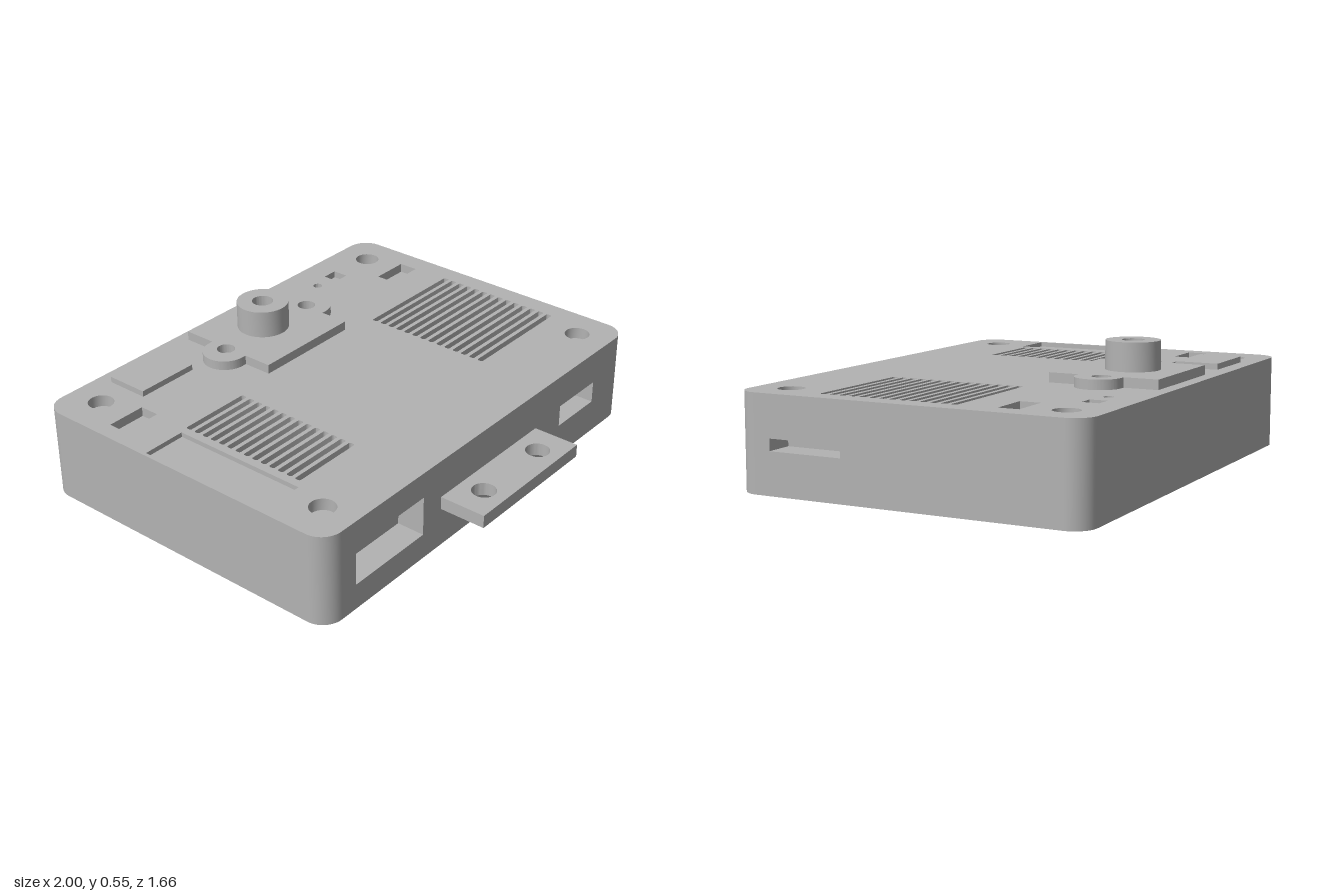
import * as THREE from 'three';
import { mergeGeometries, toCreasedNormals } from 'three/addons/utils/BufferGeometryUtils.js';

const grey = new THREE.MeshStandardMaterial({ color: 0xb3b3b3 });
grey.name = 'plain grey';

// Case extents
const X = 1, Z0 = -0.83, Z1 = 0.63, H = 0.39, R = 0.09;

const rect = (x0, y0, x1, y1) => new THREE.Shape([
  new THREE.Vector2(x0, y0), new THREE.Vector2(x1, y0),
  new THREE.Vector2(x1, y1), new THREE.Vector2(x0, y1)]);

const circle = (x, y, r) => new THREE.Shape().absarc(x, y, r, 0, Math.PI * 2, false);

function roundRect(x0, y0, x1, y1, r) {
  const s = new THREE.Shape();
  s.absarc(x1 - r, y0 + r, r, -Math.PI / 2, 0, false);
  s.absarc(x1 - r, y1 - r, r, 0, Math.PI / 2, false);
  s.absarc(x0 + r, y1 - r, r, Math.PI / 2, Math.PI, false);
  s.absarc(x0 + r, y0 + r, r, Math.PI, Math.PI * 1.5, false);
  s.closePath();
  return s;
}

function add(group, name, geometry) {
  const mesh = new THREE.Mesh(geometry, grey);
  mesh.name = name;
  group.add(mesh);
  return mesh;
}

// Inward-facing walls and floor of a recess cut into the local z = 0 plane
function pocket(shape, depth, segments) {
  const pts = shape.getPoints(segments);
  if (pts[0].distanceTo(pts[pts.length - 1]) < 1e-6) pts.pop();
  if (THREE.ShapeUtils.isClockWise(pts)) pts.reverse();
  const pos = [];
  pts.forEach((a, i) => {
    const b = pts[(i + 1) % pts.length];
    if (a.distanceTo(b) < 1e-6) return;
    pos.push(a.x, a.y, 0, b.x, b.y, 0, b.x, b.y, -depth);
    pos.push(a.x, a.y, 0, b.x, b.y, -depth, a.x, a.y, -depth);
  });
  let walls = new THREE.BufferGeometry();
  walls.setAttribute('position', new THREE.Float32BufferAttribute(pos, 3));
  walls.computeVertexNormals();
  walls = toCreasedNormals(walls, 0.6);
  const floor = new THREE.ShapeGeometry(shape, segments).toNonIndexed();
  floor.deleteAttribute('uv');
  floor.translate(0, 0, -depth);
  return mergeGeometries([walls, floor]);
}

// Flat face with recesses, each given as [name, depth, shapes]
function panel(name, outline, recesses, segments = 12) {
  const group = new THREE.Group();
  group.name = name;
  for (const [label, depth, shapes] of recesses) {
    outline.holes.push(...shapes);
    add(group, label, mergeGeometries(shapes.map(s => pocket(s, depth, segments))));
  }
  add(group, name + 'Face', new THREE.ShapeGeometry(outline, segments));
  return group;
}

// Horizontal slab from a plan outline drawn with y = -z
function slab(shape, y0, y1) {
  const g = new THREE.ExtrudeGeometry(shape, { depth: y1 - y0, bevelEnabled: false, curveSegments: 24 });
  g.rotateX(-Math.PI / 2);
  g.translate(0, y0, 0);
  return toCreasedNormals(g, 0.6);
}

export function createModel() {
  const model = new THREE.Group();
  model.name = 'deviceCase';

  // Top with vents, screw wells and sockets
  const slots = [];
  for (let i = 0; i < 14; i++) {
    const y = 0.268 - i * 0.0431;
    for (const [a, b] of [[-0.76, -0.44], [0.39, 0.915]]) {
      slots.push(roundRect(a, y - 0.0125, b, y + 0.0125, 0.008));
    }
  }
  const wells = [];
  for (const x of [-0.835, 0.845]) for (const y of [0.68, -0.48]) wells.push(circle(x, y, 0.053));
  const top = panel('top', roundRect(-X, -Z1, X, -Z0, R), [
    ['ventSlots', 0.03, slots],
    ['screwWells', 0.05, wells],
    ['sideSockets', 0.04, [rect(-0.93, 0.44, -0.76, 0.525), rect(0.735, 0.44, 0.905, 0.525)]],
    ['squareSocket', 0.03, [rect(0.58, 0.645, 0.65, 0.715)]],
    ['pinHole', 0.03, [circle(0.49, 0.68, 0.02)]],
    ['labelRecess', 0.02, [rect(-0.985, -0.33, -0.795, 0.27)]],
  ]);
  top.rotation.x = -Math.PI / 2;
  top.position.y = H;
  model.add(top);

  // Underside with a shallow rectangular recess
  const bottom = panel('bottom', roundRect(-X, Z0, X, Z1, R), [
    ['bottomRecess', 0.02, [rect(-0.71, -0.645, 0.71, 0.445)]],
  ]);
  bottom.rotation.x = Math.PI / 2;
  model.add(bottom);

  // Four walls
  const front = panel('frontWall', rect(-X + R, 0, X - R, H), [
    ['largePort', 0.12, [rect(-0.83, 0.11, -0.43, 0.28)]],
    ['smallPort', 0.12, [rect(0.5, 0.15, 0.755, 0.245)]],
  ]);
  front.position.z = Z1;
  const back = panel('backWall', rect(-X + R, 0, X - R, H), []);
  back.rotation.y = Math.PI;
  back.position.z = Z0;
  const right = panel('slotWall', rect(-Z1 + R, 0, -Z0 - R, H), [
    ['cardSlot', 0.12, [rect(-0.475, 0.172, -0.16, 0.22)]],
  ]);
  right.rotation.y = Math.PI / 2;
  right.position.x = X;
  const left = panel('plainWall', rect(Z0 + R, 0, Z1 - R, H), []);
  left.rotation.y = -Math.PI / 2;
  left.position.x = -X;
  model.add(front, back, right, left);

  // Rounded vertical corners
  [[1, 1], [1, -1], [-1, -1], [-1, 1]].forEach(([sx, sz], i) => {
    const g = new THREE.CylinderGeometry(R, R, H, 12, 1, true, i * Math.PI / 2, Math.PI / 2);
    add(model, 'corner', g).position.set(sx * (X - R), H / 2, sz > 0 ? Z1 - R : Z0 + R);
  });

  // Front tab with two through holes
  const tab = rect(-0.32, -0.83, 0.32, -Z1);
  tab.holes.push(circle(-0.18, -0.73, 0.05), circle(0.187, -0.73, 0.05));
  add(model, 'frontTab', slab(tab, 0.17, 0.225));

  // Raised block
  add(model, 'raisedBlock', slab(rect(-0.7, 0.58, -0.42, 0.765), H, 0.415));

  // Mounting plate with rounded ears
  const er = 0.095, ex = 0.265, ey = 0.537;
  const plate = new THREE.Shape();
  plate.moveTo(-0.245, 0.315);
  plate.lineTo(0.245, 0.315);
  plate.lineTo(0.245, ey - er);
  plate.absarc(ex, ey, er, -Math.PI / 2, Math.PI / 2, false);
  plate.lineTo(0.245, ey + er);
  plate.lineTo(0.245, 0.775);
  plate.lineTo(-0.245, 0.775);
  plate.lineTo(-0.245, ey + er);
  plate.absarc(-ex, ey, er, Math.PI / 2, Math.PI * 1.5, false);
  plate.lineTo(-0.245, ey - er);
  plate.closePath();
  plate.holes.push(circle(-0.253, 0.545, 0.038), circle(0.257, 0.545, 0.038));
  add(model, 'mountingPlate', slab(plate, H, 0.43));

  // Hollow boss
  const boss = circle(0, 0.565, 0.11);
  boss.holes.push(circle(0, 0.565, 0.045));
  add(model, 'boss', slab(boss, 0.43, 0.547));

  return model;
}
